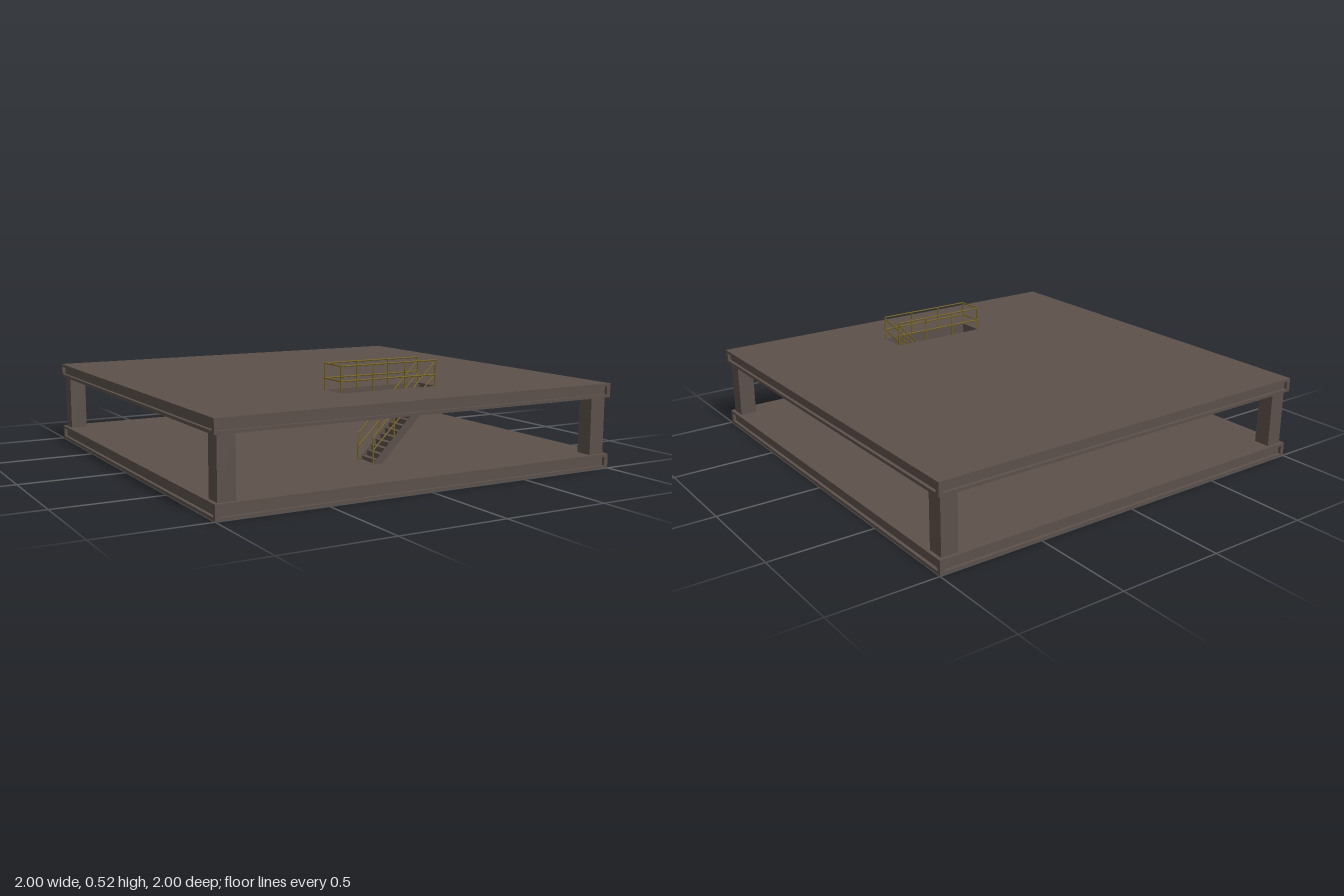
import * as THREE from 'three';

export function createModel() {
  const root = new THREE.Group();
  root.name = 'platform';
  const steel = new THREE.MeshStandardMaterial({ color: 0x5c504a });
  steel.name = 'brown steel';
  const yellow = new THREE.MeshStandardMaterial({ color: 0x75621c });
  yellow.name = 'dull yellow';

  const add = (parent, name, geometry, material, x = 0, y = 0, z = 0) => {
    const mesh = new THREE.Mesh(geometry, material);
    mesh.name = name;
    mesh.position.set(x, y, z);
    parent.add(mesh);
    return mesh;
  };
  const group = (name) => {
    const g = new THREE.Group();
    g.name = name;
    root.add(g);
    return g;
  };

  // Square plate lying flat, optionally pierced by the stair opening
  const X0 = -0.26, X1 = 0.238, Z0 = 0.54, Z1 = 0.678;
  const plate = (half, height, pierced) => {
    const s = new THREE.Shape();
    s.moveTo(-half, -half).lineTo(half, -half).lineTo(half, half).lineTo(-half, half).closePath();
    if (pierced) {
      const h = new THREE.Path();
      h.moveTo(X0, -Z1).lineTo(X0, -Z0).lineTo(X1, -Z0).lineTo(X1, -Z1).closePath();
      s.holes.push(h);
    }
    return new THREE.ExtrudeGeometry(s, { depth: height, bevelEnabled: false }).rotateX(-Math.PI / 2);
  };

  // Decks: channel-shaped edges made of two flanges, a recessed web and corner blocks
  const deck = (name, y, h, pierced) => {
    const g = group(name);
    const f = 0.014;
    add(g, 'lowerFlange', plate(1, f, pierced), steel, 0, y, 0);
    add(g, 'web', plate(0.985, h - 2 * f, pierced), steel, 0, y + f, 0);
    add(g, 'upperFlange', plate(1, f, pierced), steel, 0, y + h - f, 0);
    for (const x of [-1, 1]) for (const z of [-1, 1])
      add(g, 'cornerBlock', new THREE.BoxGeometry(0.02, h - 2 * f, 0.02), steel, x * 0.99, y + h / 2, z * 0.99);
  };
  deck('lowerDeck', 0, 0.068, false);
  deck('upperDeck', 0.335, 0.065, true);

  // Corner columns
  const columns = group('columns');
  for (const x of [-1, 1]) for (const z of [-1, 1])
    add(columns, 'column', new THREE.BoxGeometry(0.08, 0.267, 0.08), steel, x * 0.943, 0.2015, z * 0.943);

  // Stair flight: sloping stringers with treads and risers between
  const stairs = group('stairs');
  const SZ0 = 0.547, SZ1 = 0.672, mid = (SZ0 + SZ1) / 2, width = SZ1 - SZ0;
  const side = new THREE.Shape();
  side.moveTo(-0.087, 0.068).lineTo(-0.04, 0.068).lineTo(0.238, 0.346).lineTo(0.238, 0.393).closePath();
  for (const z of [SZ0, SZ1 - 0.008])
    add(stairs, 'stringer', new THREE.ExtrudeGeometry(side, { depth: 0.008, bevelEnabled: false }), steel, 0, 0, z);
  const steps = 13, rise = 0.0238;
  for (let i = 0; i < steps; i++) {
    const x = -0.071 + i * rise, y = 0.068 + (i + 1) * rise - 0.006;
    add(stairs, 'tread', new THREE.BoxGeometry(rise + 0.004, 0.005, width - 0.016), steel, x + rise / 2, y - 0.0025, mid);
    add(stairs, 'riser', new THREE.BoxGeometry(0.003, rise, width - 0.016), steel, x + 0.0015, y - rise / 2, mid);
  }

  // Round bar between two points
  const bar = (parent, name, a, b, r = 0.0035) => {
    const p = new THREE.Vector3(...a), q = new THREE.Vector3(...b);
    const d = q.clone().sub(p);
    const m = add(parent, name, new THREE.CylinderGeometry(r, r, d.length(), 8), yellow);
    m.position.copy(p).add(q).multiplyScalar(0.5);
    m.quaternion.setFromUnitVectors(new THREE.Vector3(0, 1, 0), d.normalize());
  };

  // Guard railing on three sides of the opening
  const guard = group('guardRailing');
  const ZA = 0.54, ZB = 0.68, XA = -0.26, XB = 0.237;
  for (const z of [ZA, ZB]) {
    for (let i = 0; i < 4; i++) {
      const x = XA + (XB - XA) * i / 3;
      bar(guard, 'post', [x, 0.395, z], [x, 0.52, z]);
    }
    for (const y of [0.453, 0.519]) bar(guard, 'rail', [XA, y, z], [XB, y, z]);
  }
  for (const y of [0.453, 0.519]) bar(guard, 'endRail', [XA, y, ZA], [XA, y, ZB]);

  // Sloping handrails along both sides of the stairs
  const hand = group('stairHandrails');
  for (const z of [SZ0, SZ1]) {
    for (const y of [0.132, 0.192]) bar(hand, 'handrail', [-0.088, y, z], [0.237, y + 0.317, z]);
    for (const x of [-0.088, 0.022, 0.13]) bar(hand, 'handrailPost', [x, x + 0.156, z], [x, 0.192 + (x + 0.088) * 0.975, z]);
  }
  return root;
}
